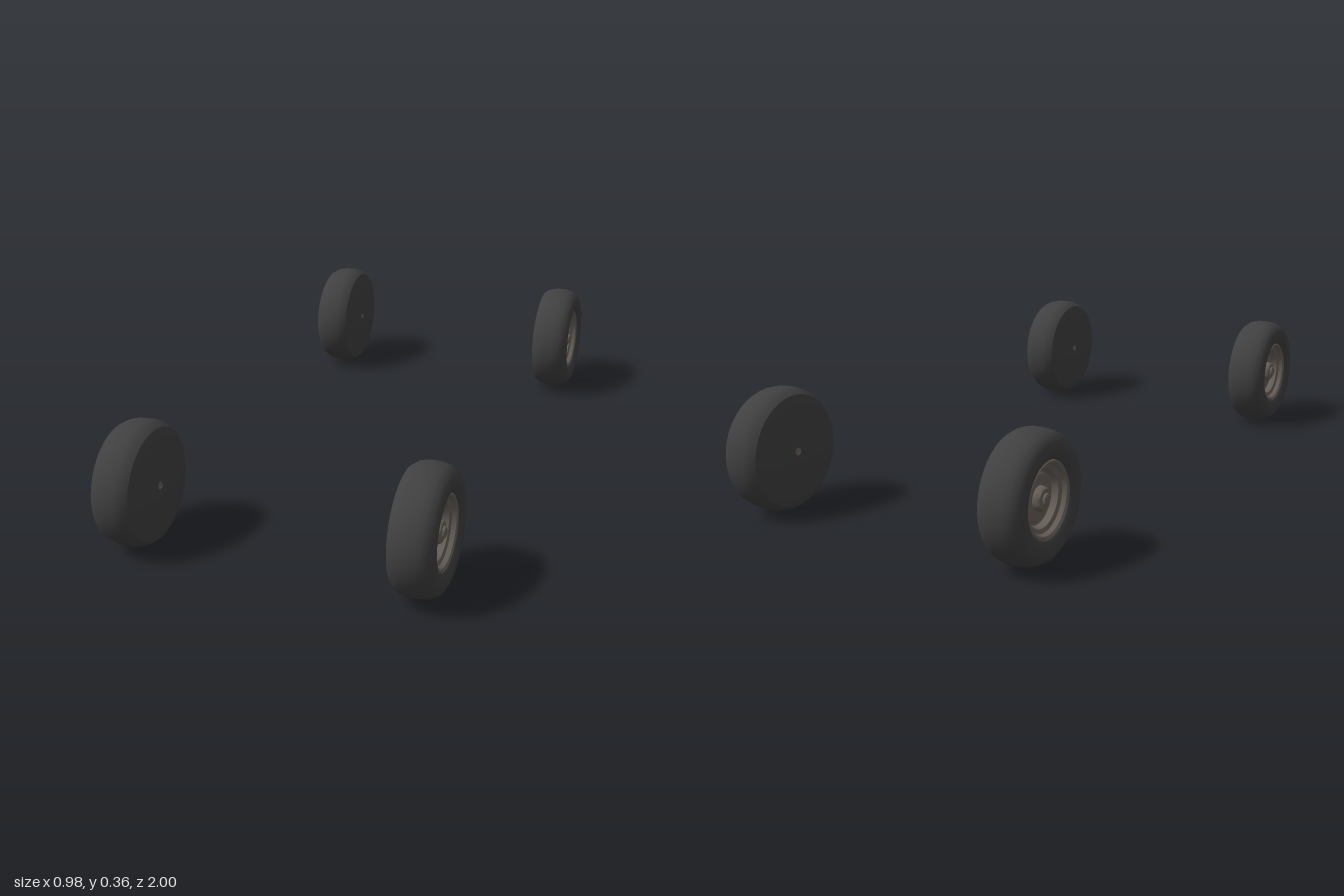
import * as THREE from 'three';
import { toCreasedNormals } from 'three/addons/utils/BufferGeometryUtils.js';

const RADIUS = 0.182;
const SEGMENTS = 40;

// Profiles are [radius, distance along the axle], running from inboard to outboard.
const TYRE = [
  [0.012, 0.012], [0.012, 0], [0.115, 0], [0.145, 0.004], [0.165, 0.009], [0.176, 0.024],
  [0.181, 0.042], [RADIUS, 0.062], [0.181, 0.084], [0.176, 0.104],
  [0.166, 0.121], [0.152, 0.129], [0.135, 0.131], [0.117, 0.128], [0.107, 0.121], [0.104, 0.108],
];
const RIM = [
  [0.105, 0.108], [0.105, 0.118], [0.101, 0.121], [0.096, 0.118], [0.091, 0.106],
  [0.079, 0.102], [0.074, 0.084], [0.068, 0.082], [0.062, 0.088], [0.034, 0.09],
];
const HUB = [
  [0.034, 0.088], [0.032, 0.104], [0.028, 0.109], [0.017, 0.11],
  [0.015, 0.116], [0.009, 0.119], [0, 0.119],
];
const AXLE_END = [[0, 0.005], [0.012, 0.005], [0.012, 0.09]];

function turned(name, profile, material, crease = 0.6) {
  const points = profile.map(([r, a]) => new THREE.Vector2(r, a));
  const geometry = toCreasedNormals(new THREE.LatheGeometry(points, SEGMENTS), crease);
  const mesh = new THREE.Mesh(geometry, material);
  mesh.name = name;
  return mesh;
}

export function createModel() {
  const rubber = new THREE.MeshStandardMaterial({ color: 0x404040, side: THREE.DoubleSide });
  rubber.name = 'dark rubber';
  const metal = new THREE.MeshStandardMaterial({ color: 0x69615a, side: THREE.DoubleSide });
  metal.name = 'warm grey metal';

  // One wheel, turned around its axle
  const wheel = new THREE.Group();
  wheel.add(
    turned('tyre', TYRE, rubber),
    turned('rim', RIM, metal),
    turned('hubCap', HUB, metal),
    turned('axleEnd', AXLE_END, metal),
  );

  // Four wheels, dished sides facing outwards
  const model = new THREE.Group();
  model.name = 'wheelSet';
  for (const side of [1, -1]) {
    for (const end of [1, -1]) {
      const copy = wheel.clone();
      copy.name = `${end > 0 ? 'front' : 'rear'}${side > 0 ? 'Left' : 'Right'}Wheel`;
      copy.rotation.z = -side * Math.PI / 2;
      copy.position.set(side * 0.359, RADIUS, end * (1 - RADIUS));
      model.add(copy);
    }
  }
  return model;
}
